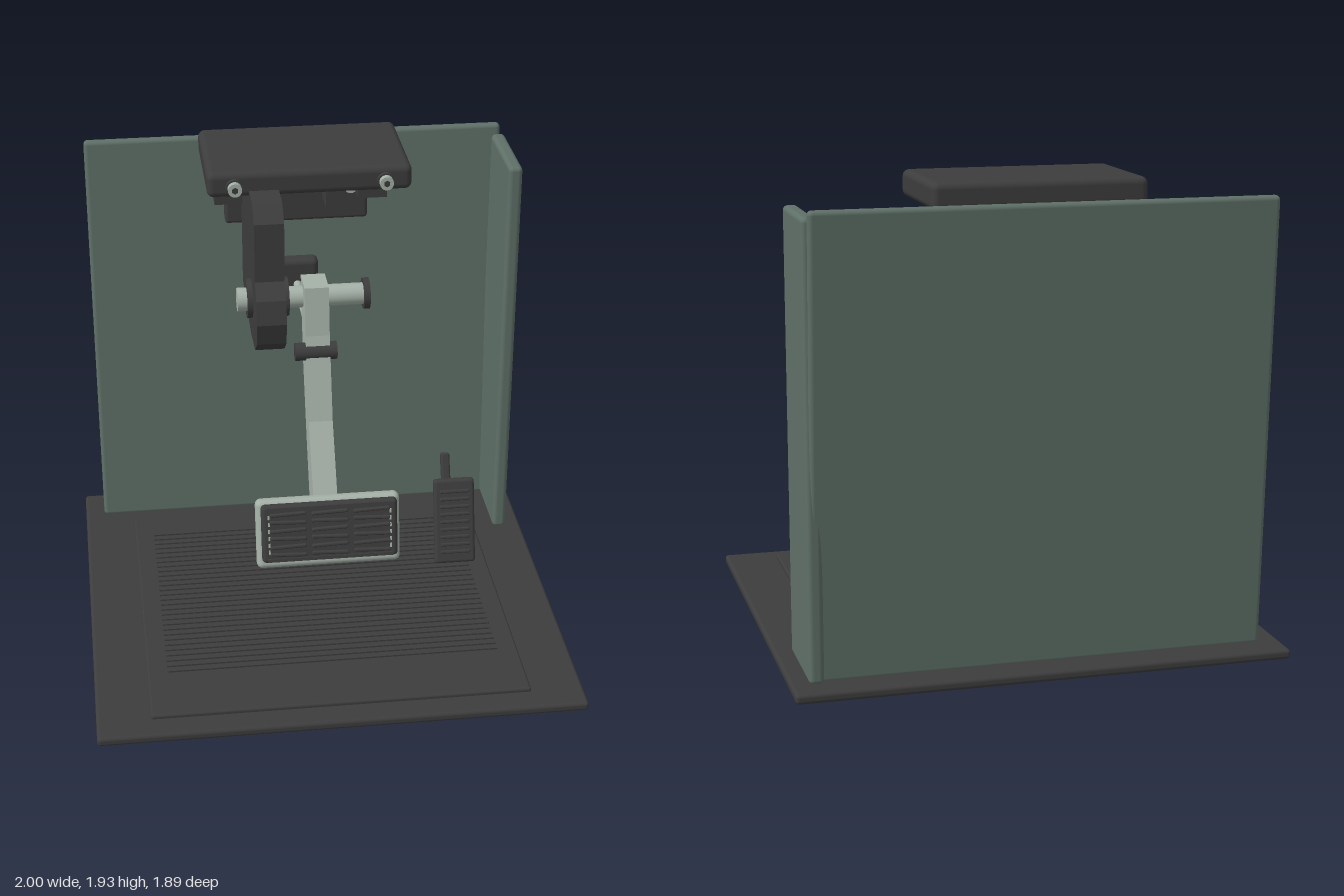
import * as THREE from 'three';
import { RoundedBoxGeometry } from 'three/addons/geometries/RoundedBoxGeometry.js';

const paint = (name, color) => {
  const m = new THREE.MeshStandardMaterial({ color });
  m.name = name;
  return m;
};

export function createModel() {
  const dark = paint('dark rubber', 0x3d3d3d);
  const green = paint('grey green panel', 0x5f7068);
  const steel = paint('pale steel', 0xa5b1a8);
  const root = new THREE.Group();
  root.name = 'pedalBox';

  const add = (name, geo, mat, pos = [0, 0, 0], parent = root) => {
    const mesh = new THREE.Mesh(geo, mat);
    mesh.name = name;
    mesh.position.set(...pos);
    parent.add(mesh);
    return mesh;
  };
  const group = (name, pos, tilt = 0) => {
    const g = new THREE.Group();
    g.name = name;
    g.position.set(...pos);
    g.rotation.x = tilt;
    root.add(g);
    return g;
  };
  const box = (name, size, pos, mat, r = 0, parent = root) =>
    add(name, r ? new RoundedBoxGeometry(...size, 3, r) : new THREE.BoxGeometry(...size), mat, pos, parent);
  // Cylinder lying along x, from x0 to x1
  const rodX = (name, x0, x1, y, z, r, mat, sides = 32) =>
    add(name, new THREE.CylinderGeometry(r, r, x1 - x0, sides).rotateZ(Math.PI / 2), mat, [(x0 + x1) / 2, y, z]);
  // Side profile of [z, y] points, extruded from x0 to x1
  const profileX = (name, pts, x0, x1, mat) => {
    const shape = new THREE.Shape(pts.map(p => new THREE.Vector2(...p)));
    const geo = new THREE.ExtrudeGeometry(shape, { depth: x1 - x0, bevelEnabled: false });
    return add(name, geo.rotateY(-Math.PI / 2).translate(x1, 0, 0), mat);
  };

  // Floor and ribbed mat
  box('floor', [2, 0.04, 1.89], [0, 0.02, 0], dark, 0.015);
  box('floorMat', [1.56, 0.03, 1.5], [0, 0.042, 0.09], dark, 0.01);
  for (let i = 0; i < 29; i++)
    box('matRib', [1.39, 0.012, 0.018], [0, 0.058, -0.52 + i * 0.038], dark);

  // Leaning firewall and side panel
  const wall = group('firewall', [0, 0.03, -0.787], -0.055);
  box('firewallPanel', [1.83, 1.83, 0.045], [0, 0.915, 0], green, 0.018, wall);
  box('sidePanel', [0.06, 1.79, 0.41], [0.9, 0.93, -0.64], green, 0.02);

  // Top mount with backing plate, blocks and gussets
  box('topMount', [0.85, 0.108, 0.525], [0, 1.876, -0.523], dark, 0.028);
  box('backingPlate', [0.63, 0.36, 0.07], [0, 1.66, -0.815], dark, 0.015);
  for (const s of [-1, 1]) {
    box('mountBlock', [0.125, 0.19, 0.2], [s * 0.31, 1.745, -0.7], dark);
    box('gusset', [0.048, 0.25, 0.14], [s * 0.138, 1.715, -0.72], dark);
  }

  // Socket head bolts
  const bolt = (x, y, z) => {
    const g = group('bolt', [x, y, z]);
    const disc = (name, r, len, sides, zz, mat) =>
      add(name, new THREE.CylinderGeometry(r, r, len, sides).rotateX(Math.PI / 2), mat, [0, 0, zz], g);
    disc('boltWasher', 0.036, 0.016, 24, 0.008, dark);
    disc('boltHead', 0.029, 0.032, 24, 0.025, steel);
    disc('boltSocket', 0.014, 0.004, 6, 0.042, dark);
  };
  for (const s of [-1, 1]) {
    bolt(s * 0.313, 1.87, -0.262);
    bolt(s * 0.235, 1.645, -0.78);
  }

  // Pivot bracket
  profileX('pivotBracket', [
    [-0.13, 1.85], [-0.06, 1.785], [-0.06, 1.53], [0, 1.47], [0.02, 1.37], [-0.01, 1.27],
    [-0.09, 1.205], [-0.27, 1.19], [-0.44, 1.22], [-0.65, 1.27], [-0.65, 1.85],
  ], -0.253, -0.13, dark);
  rodX('pivotBoss', -0.275, -0.1, 1.38, -0.23, 0.083, dark);
  rodX('axle', -0.3, 0.22, 1.38, -0.22, 0.046, steel);
  rodX('axleHead', -0.315, -0.272, 1.38, -0.22, 0.05, steel);
  rodX('axleCap', 0.216, 0.242, 1.38, -0.22, 0.066, dark);

  // Brake arm, clevis, push rod and its wall pad
  profileX('brakeArm', [
    [-0.135, 1.455], [-0.1, 1.25], [0.005, 0.9], [0.165, 0.63], [0.2, 0.41],
    [0.09, 0.41], [-0.07, 0.77], [-0.2, 1.1], [-0.275, 1.455],
  ], -0.04, 0.062, steel);
  rodX('clevisPin', -0.085, 0.092, 1.177, -0.108, 0.038, dark);
  add('pushRod', new THREE.CylinderGeometry(0.018, 0.018, 0.66, 20).rotateX(Math.PI / 2 + 0.015), steel, [0, 1.18, -0.44]);
  box('pushRodPad', [0.19, 0.23, 0.075], [0, 1.185, -0.79], dark, 0.025);

  // Brake pedal: steel backing, rubber face with three columns of ribs
  const brake = group('brakePedal', [0.015, 0.495, 0.215], -0.2);
  box('brakePlate', [0.61, 0.305, 0.062], [0, 0, 0], steel, 0.025, brake);
  box('brakeRubber', [0.575, 0.255, 0.045], [0.003, 0.012, 0.04], dark, 0.018, brake);
  for (const s of [-1, 1]) {
    box('rubberRim', [0.53, 0.014, 0.012], [0.003, 0.012 + s * 0.113, 0.064], dark, 0, brake);
    for (let i = 0; i < 6; i++)
      box('edgeFleck', [0.008, 0.018, 0.004], [0.003 + s * 0.257, -0.065 + i * 0.031, 0.063], steel, 0, brake);
  }
  for (let c = -1; c <= 1; c++)
    for (let i = 0; i < 6; i++)
      box('rubberRib', [0.155, 0.015, 0.018], [0.003 + c * 0.177, -0.078 + i * 0.036, 0.066], dark, 0.006, brake)
        .rotation.z = i % 2 ? 0.035 : -0.035;

  // Accelerator pad and its lever
  const gas = group('acceleratorPedal', [0.593, 0.383, 0.032], -0.27);
  box('acceleratorPad', [0.177, 0.378, 0.04], [0, 0, 0], dark, 0.014, gas);
  for (let i = 0; i < 9; i++)
    box('acceleratorRib', [0.13, 0.014, 0.018], [0, -0.135 + i * 0.034, 0.022], dark, 0.005, gas);
  const lever = group('acceleratorLever', [0.591, 0.362, -0.132], -0.43);
  box('leverBar', [0.04, 0.465, 0.034], [0, 0, 0], dark, 0.01, lever);

  return root;
}
